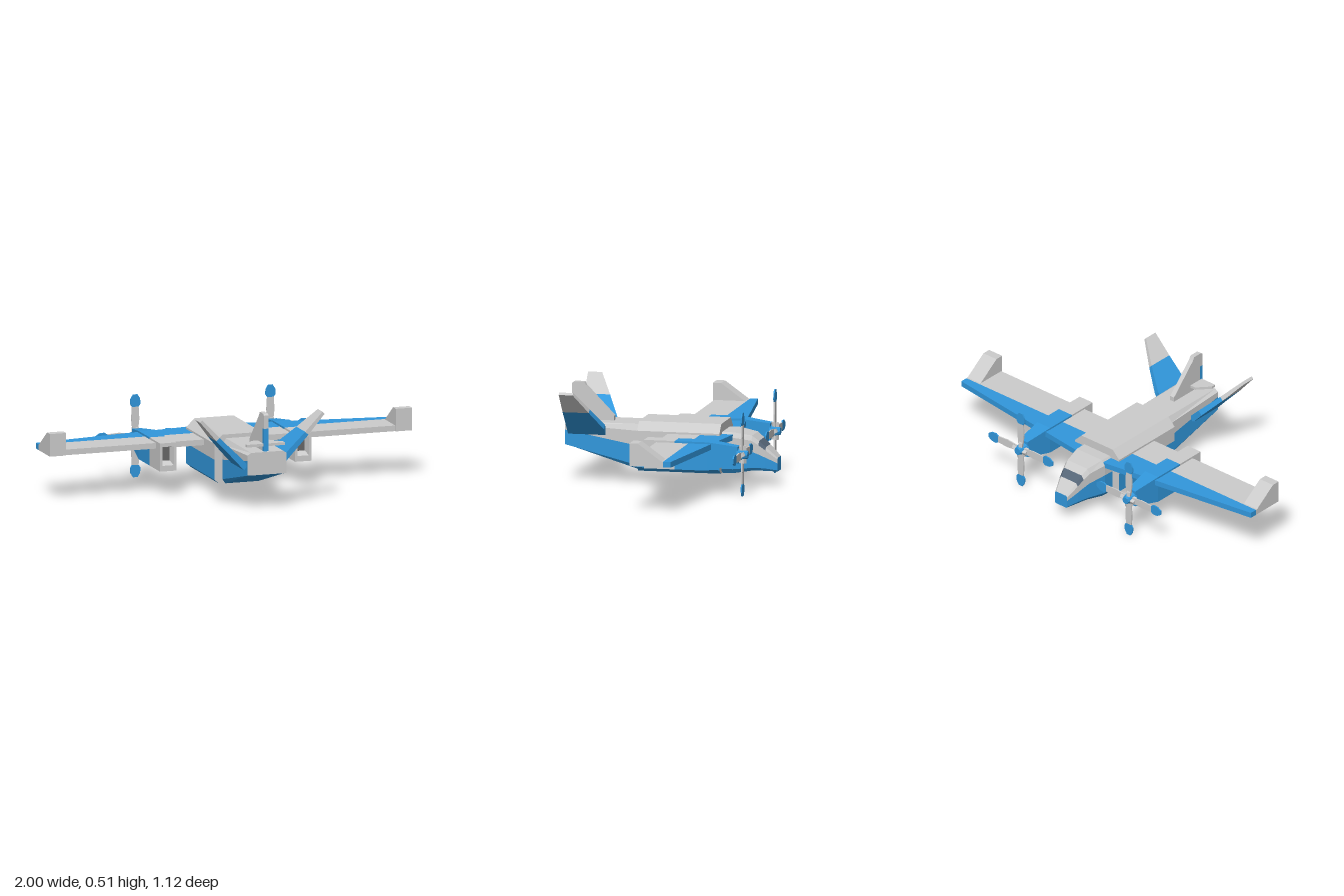
import * as THREE from 'three';

const mat = (color) => new THREE.MeshStandardMaterial({ color, flatShading: true });
const grey = mat(0xcccccc), blue = mat(0x3197dc), glass = mat(0x566678), dark = mat(0x666666);
const CX = 0.006; // body centreline

// Join rings of [x, y, z] points with flat faces; paint(segment, band) picks each face's material.
// Segment -1 is the first cap and segment rings.length - 1 the last.
function loft(name, rings, paint) {
  const faces = new Map();
  let volume = 0;
  const tri = (m, a, b, c) => {
    if (!faces.has(m)) faces.set(m, []);
    faces.get(m).push([a, b, c]);
    const [p, q, r] = [a, b, c].map((v) => new THREE.Vector3(...v));
    volume += p.dot(q.cross(r));
  };
  const n = rings[0].length, last = rings.length - 1;
  for (let s = 0; s < last; s++) {
    for (let i = 0; i < n; i++) {
      const j = (i + 1) % n, m = paint(s, i);
      tri(m, rings[s][i], rings[s][j], rings[s + 1][j]);
      tri(m, rings[s][i], rings[s + 1][j], rings[s + 1][i]);
    }
  }
  for (let i = 1; i < n - 1; i++) {
    tri(paint(-1, i), rings[0][0], rings[0][i + 1], rings[0][i]);
    tri(paint(last, i), rings[last][0], rings[last][i], rings[last][i + 1]);
  }
  const group = new THREE.Group();
  group.name = name;
  for (const [m, list] of faces) {
    const points = list.flatMap((t) => (volume < 0 ? [t[0], t[2], t[1]] : t)).flat();
    const geo = new THREE.BufferGeometry();
    geo.setAttribute('position', new THREE.Float32BufferAttribute(points, 3));
    geo.computeVertexNormals();
    const mesh = new THREE.Mesh(geo, m);
    mesh.name = name + 'Panels';
    group.add(mesh);
  }
  return group;
}

// Extrude an outline of [x, y] points, centred on its depth
function plate(name, outline, depth, material) {
  const shape = new THREE.Shape(outline.map((p) => new THREE.Vector2(...p)));
  const geo = new THREE.ExtrudeGeometry(shape, { depth, bevelEnabled: false });
  geo.translate(0, 0, -depth / 2);
  const mesh = new THREE.Mesh(geo, material);
  mesh.name = name;
  return mesh;
}

function box(name, w, h, d, x, y, z, material) {
  const mesh = new THREE.Mesh(new THREE.BoxGeometry(w, h, d), material);
  mesh.position.set(x, y, z);
  mesh.name = name;
  return mesh;
}

// Symmetric ring from half-section points that run from belly to top
const mirrorRing = (half, z) => [
  ...half.map(([x, y]) => [CX + x, y, z]),
  ...half.slice().reverse().map(([x, y]) => [CX - x, y, z]),
];
const rect = (cx, w, y0, y1, z) =>
  [[cx - w, y0, z], [cx + w, y0, z], [cx + w, y1, z], [cx - w, y1, z]];

// Hull: z, half width, belly y, lower chamfer y, colour line y, top y
function hull() {
  const stations = [
    [0.56, 0.108, 0.19, 0.191, 0.268, 0.31],
    [0.165, 0.108, 0.07, 0.093, 0.197, 0.31],
    [-0.1, 0.108, 0.07, 0.093, 0.2, 0.3],
    [-0.275, 0.108, 0.07, 0.093, 0.2, 0.285],
    [-0.335, 0.106, 0.07, 0.093, 0.2, 0.285],
    [-0.43, 0.083, 0.084, 0.1, 0.185, 0.268],
    [-0.465, 0.073, 0.084, 0.099, 0.17, 0.24],
    [-0.5, 0.063, 0.082, 0.096, 0.153, 0.207],
    [-0.56, 0.042, 0.078, 0.085, 0.122, 0.15],
  ];
  const rings = stations.map(([z, w, yb, yc, ys, yt]) => mirrorRing(
    [[w * 0.85, yb], [w, yc], [w, ys], [w, yt - (yt - ys) * 0.3], [w * 0.82, yt]], z));
  return loft('fuselage', rings, (s, i) => {
    if (s === -1) return grey;
    if (s === 8) return blue;
    if (s === 6 && i >= 3 && i <= 5) return glass;
    return i >= 2 && i <= 6 ? grey : blue;
  });
}

// Wider centre section with a raised roof
function centreSection() {
  const half = [[0.125, 0.07], [0.153, 0.093], [0.153, 0.2], [0.153, 0.285],
    [0.128, 0.31], [0.108, 0.33]];
  return loft('centreSection', [0.165, -0.275].map((z) => mirrorRing(half, z)),
    (s, i) => (s === 0 && (i < 2 || i > 8) ? blue : grey));
}

function propeller(x) {
  const group = new THREE.Group();
  group.name = 'propeller';
  const hub = new THREE.Mesh(new THREE.CylinderGeometry(0.02, 0.036, 0.055, 8), blue);
  hub.rotation.x = -Math.PI / 2;
  hub.position.z = -0.002;
  hub.name = 'spinner';
  group.add(hub);
  for (let i = 0; i < 4; i++) {
    const blade = new THREE.Group();
    blade.name = 'blade';
    blade.add(plate('bladeRoot', [[-0.014, 0.02], [0.014, 0.02], [0.022, 0.09],
      [0.018, 0.155], [-0.018, 0.155], [-0.022, 0.09]], 0.007, grey));
    blade.add(plate('bladeTip', [[-0.018, 0.155], [0.018, 0.155], [0.028, 0.17],
      [0.026, 0.198], [0.012, 0.22], [-0.012, 0.22], [-0.026, 0.198], [-0.028, 0.17]], 0.007, blue));
    const cuff = box('bladeCuff', 0.02, 0.025, 0.036, 0, 0.033, 0, grey);
    cuff.rotation.y = 0.5;
    blade.add(cuff);
    blade.rotation.z = i * Math.PI / 2;
    group.add(blade);
  }
  group.position.set(x, 0.22, -0.45);
  return group;
}

// Nacelle with a recessed exhaust at its rear
function engine(side) {
  const x = CX + side * 0.373;
  const group = new THREE.Group();
  group.name = side > 0 ? 'leftEngine' : 'rightEngine';
  group.add(loft('nacelle', [
    rect(x, 0.026, 0.173, 0.263, -0.43),
    rect(x, 0.045, 0.135, 0.285, -0.27),
    rect(x, 0.045, 0.135, 0.285, -0.098),
    rect(x, 0.045, 0.135, 0.285, 0.067),
    rect(x, 0.032, 0.165, 0.265, 0.067),
    rect(x, 0.023, 0.182, 0.252, 0.02),
  ], (s) => (s < 2 ? blue : s < 5 ? grey : dark)));
  group.add(propeller(x));
  return group;
}

// Canted tail surface with a grey tip: x, y, leading z, half thickness
function tailSurface(side) {
  const rings = [[0.09, 0.23, 0.345, 0.017], [0.15, 0.293, 0.345, 0.015],
    [0.245, 0.39, 0.405, 0.012], [0.338, 0.493, 0.47, 0.008]].map(([x, y, z, t]) => {
    const k = t * 0.71, at = (d, zz) => [-0.015 + side * (x - d), y + d, zz];
    return [at(-k, z), at(k, z), at(k, 0.545), at(-k, 0.545)];
  });
  return loft(side > 0 ? 'leftTailSurface' : 'rightTailSurface', rings, (s) => (s < 2 ? blue : grey));
}

export function createModel() {
  const model = new THREE.Group();
  model.name = 'aircraft';
  model.add(hull(), centreSection());

  // Straight wing with a swept blue leading edge
  model.add(box('wing', 2, 0.03, 0.172, 0, 0.26, -0.084, grey));
  const edge = plate('wingLeadingEdge',
    [[-1, 0.17], [1, 0.17], [1, 0.21], [0.1, 0.335], [-0.1, 0.335], [-1, 0.21]], 0.03, blue);
  edge.rotation.x = -Math.PI / 2;
  edge.position.y = 0.26;
  model.add(edge);

  for (const side of [1, -1]) {
    model.add(engine(side), tailSurface(side));
    // Wedge-shaped wing tip
    const tip = plate(side > 0 ? 'leftWinglet' : 'rightWinglet',
      [[-0.01, 0.245], [0.165, 0.245], [0.165, 0.272], [0.035, 0.365], [-0.01, 0.365]], 0.09, grey);
    tip.rotation.y = Math.PI / 2;
    tip.position.x = side * 0.955;
    model.add(tip);
  }

  // Central fin, rudder and small tailplane
  const fin = plate('fin', [[-0.32, 0.3], [-0.32, 0.335], [-0.47, 0.49], [-0.48, 0.508],
    [-0.535, 0.508], [-0.545, 0.5], [-0.545, 0.43], [-0.525, 0.43], [-0.525, 0.3]], 0.026, grey);
  fin.rotation.y = Math.PI / 2;
  fin.position.x = CX;
  model.add(fin, box('rudder', 0.026, 0.13, 0.02, CX, 0.365, 0.535, blue));
  const plane = plate('tailplane', [[-0.105, -0.54], [0.105, -0.54], [0.105, -0.515],
    [0.045, -0.45], [-0.045, -0.45], [-0.105, -0.515]], 0.014, grey);
  plane.rotation.x = -Math.PI / 2;
  plane.position.set(CX, 0.343, 0);
  model.add(plane);
  return model;
}
